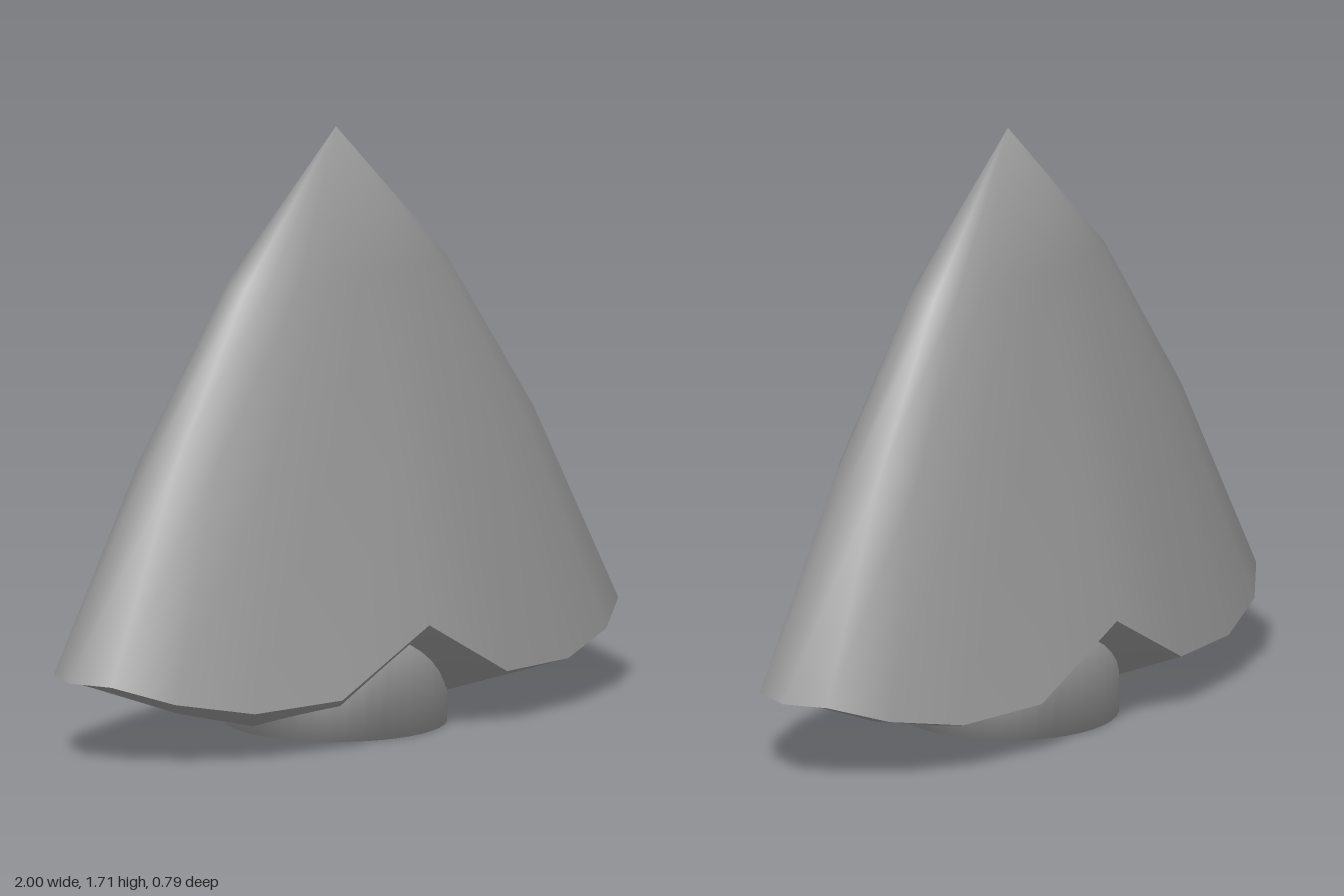
import * as THREE from 'three';
import { mergeVertices } from 'three/addons/utils/BufferGeometryUtils.js';

const SIDES = 20;
const STEP = (Math.PI * 2) / SIDES;
const DEPTH = 0.397;
// half-widths, half-depths and heights of the rings, tip first
const RINGS = [[0, 0, 1.705], [0.395, 0.135, 1.295], [0.71, 0.245, 0.82], [1, DEPTH, 0]];
// heights per column from the middle to the side tip
const RIM = [0.332, 0.155, 0.145, 0.188, 0.24, 0.24];
const KEEL = [0.01, 0.022, 0.096, 0.183, 0.238];

// Shares vertices so the shading runs smoothly over the whole part
function smooth(geo) {
  geo.deleteAttribute('normal');
  geo.deleteAttribute('uv');
  const merged = mergeVertices(geo);
  merged.computeVertexNormals();
  return merged;
}

// Flattened, tapering shell with a wavy lower rim
function shellGeometry() {
  const geo = new THREE.CylinderGeometry(0, 1, 1, SIDES, 3, true);
  const pos = geo.attributes.position;
  for (let i = 0; i < pos.count; i++) {
    const row = Math.floor(i / (SIDES + 1));
    const k = i % (SIDES + 1) % SIDES;
    const [w, d, h] = RINGS[row];
    const column = Math.min(k % 10, 10 - (k % 10)); // steps from the front or back middle
    pos.setXYZ(i, w * Math.sin(k * STEP), row === 3 ? RIM[column] : h, d * Math.cos(k * STEP));
  }
  return smooth(geo);
}

// Underside: strips running from the rim to a keel along x
function undersideGeometry() {
  const points = [];
  for (const sx of [-1, 1]) {
    for (const sz of [-1, 1]) {
      const rim = (i) => [sx * Math.sin(i * STEP), RIM[i], i === 5 ? 0 : sz * DEPTH * Math.cos(i * STEP)];
      const keel = (i) => [sx * Math.sin(i * STEP), KEEL[i], 0];
      // mirrored quarters swap corners so every face looks down
      const triangle = (p, q, r) => points.push(...(sx * sz > 0 ? [p, r, q] : [p, q, r]).flat());
      for (let i = 0; i < 5; i++) {
        triangle(keel(i), rim(i), rim(i + 1));
        if (i < 4) triangle(keel(i), rim(i + 1), keel(i + 1));
      }
    }
  }
  const geo = new THREE.BufferGeometry();
  geo.setAttribute('position', new THREE.Float32BufferAttribute(points, 3));
  return smooth(geo);
}

export function createModel() {
  const model = new THREE.Group();
  model.name = 'flattenedSpike';
  const material = new THREE.MeshStandardMaterial({ color: 0x999999, side: THREE.DoubleSide });
  const add = (name, geometry) => {
    const mesh = new THREE.Mesh(geometry, material);
    mesh.name = name;
    model.add(mesh);
    return mesh;
  };
  add('shell', shellGeometry());
  add('underside', undersideGeometry());

  // Round stem showing under the front and back notches, shaded softly around its lower edge
  add('stem', smooth(new THREE.CylinderGeometry(0.313, 0.313, 0.3, 40))).position.y = 0.15;
  return model;
}
